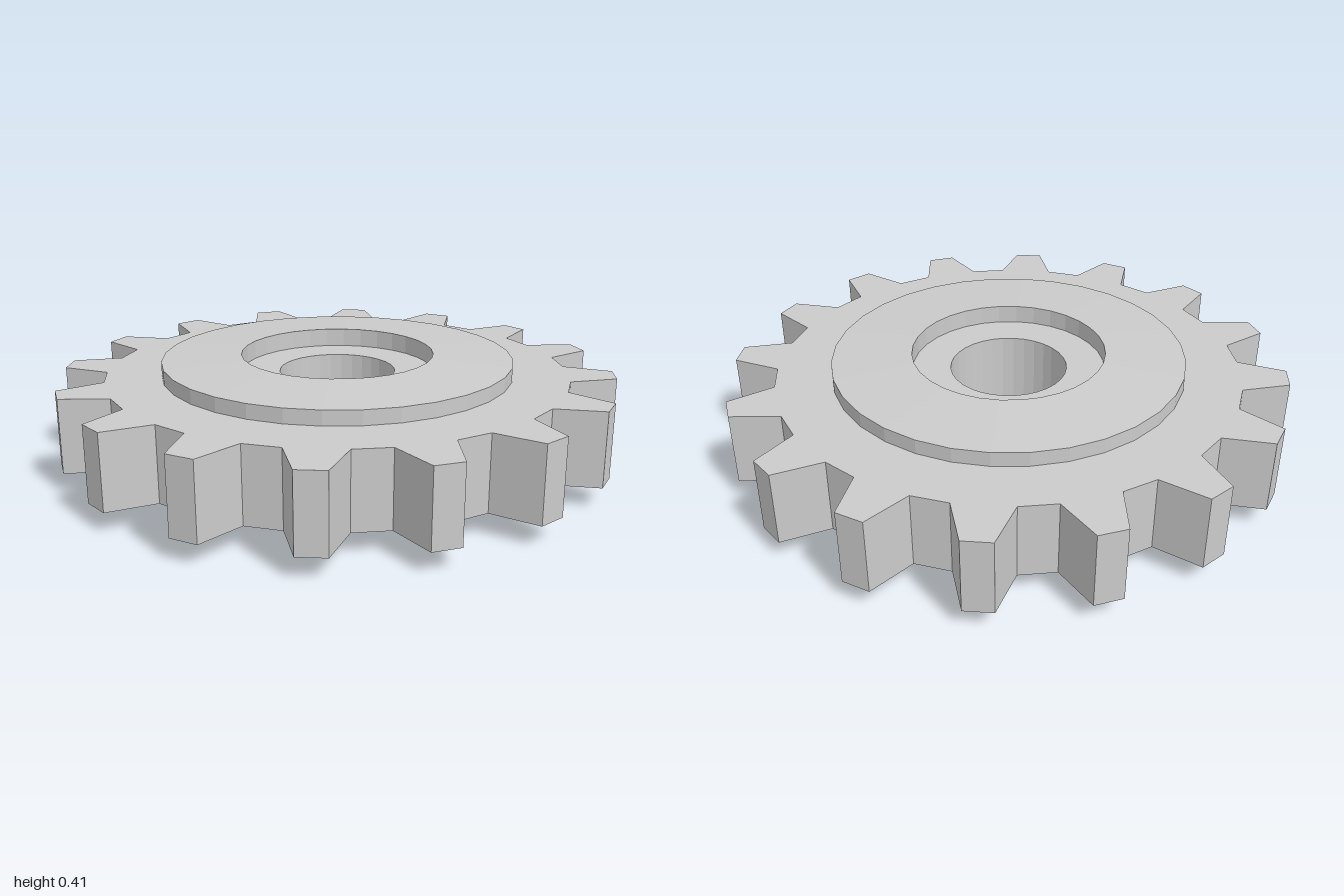
import * as THREE from 'three';

const TEETH = 16;
const FACE_LOW = 0.075, FACE_HIGH = 0.34; // lower and upper faces of the toothed disc
const SIDES = 32;

export function createModel() {
  const model = new THREE.Group();
  model.name = 'gear';
  const material = new THREE.MeshStandardMaterial({ color: 0xcccccc, flatShading: true });

  const add = (name, geometry) => {
    const mesh = new THREE.Mesh(geometry, material);
    mesh.name = name;
    model.add(mesh);
    return mesh;
  };

  // Toothed disc: one tapered tooth repeated around the rim, with a round bore
  const tooth = [[0.1, 0.83], [0.05, 1], [-0.05, 1], [-0.1, 0.83]];
  const outline = [];
  for (let i = 0; i < TEETH; i++) {
    const angle = (i / TEETH) * Math.PI * 2;
    for (const [x, y] of tooth) {
      outline.push(new THREE.Vector2(x, y).rotateAround(new THREE.Vector2(), angle));
    }
  }
  const shape = new THREE.Shape(outline);
  shape.holes.push(new THREE.Path().absarc(0, 0, 0.21, 0, Math.PI * 2, true));
  const disc = new THREE.ExtrudeGeometry(shape, {
    depth: FACE_HIGH - FACE_LOW, bevelEnabled: false, curveSegments: SIDES / 2,
  });
  disc.rotateX(-Math.PI / 2).translate(0, FACE_LOW, 0);
  add('toothedDisc', disc);

  // Raised hub rings: slightly domed, each with a recess down to the disc face
  const ring = (name, profile) =>
    add(name, new THREE.LatheGeometry(profile.map(([r, y]) => new THREE.Vector2(r, y)), SIDES));
  ring('upperHub', [[0.635, FACE_HIGH], [0.635, 0.392], [0.348, 0.407], [0.348, FACE_HIGH]]);
  ring('lowerHub', [[0.305, FACE_LOW], [0.305, 0], [0.555, 0.017], [0.555, FACE_LOW]]);

  return model;
}
